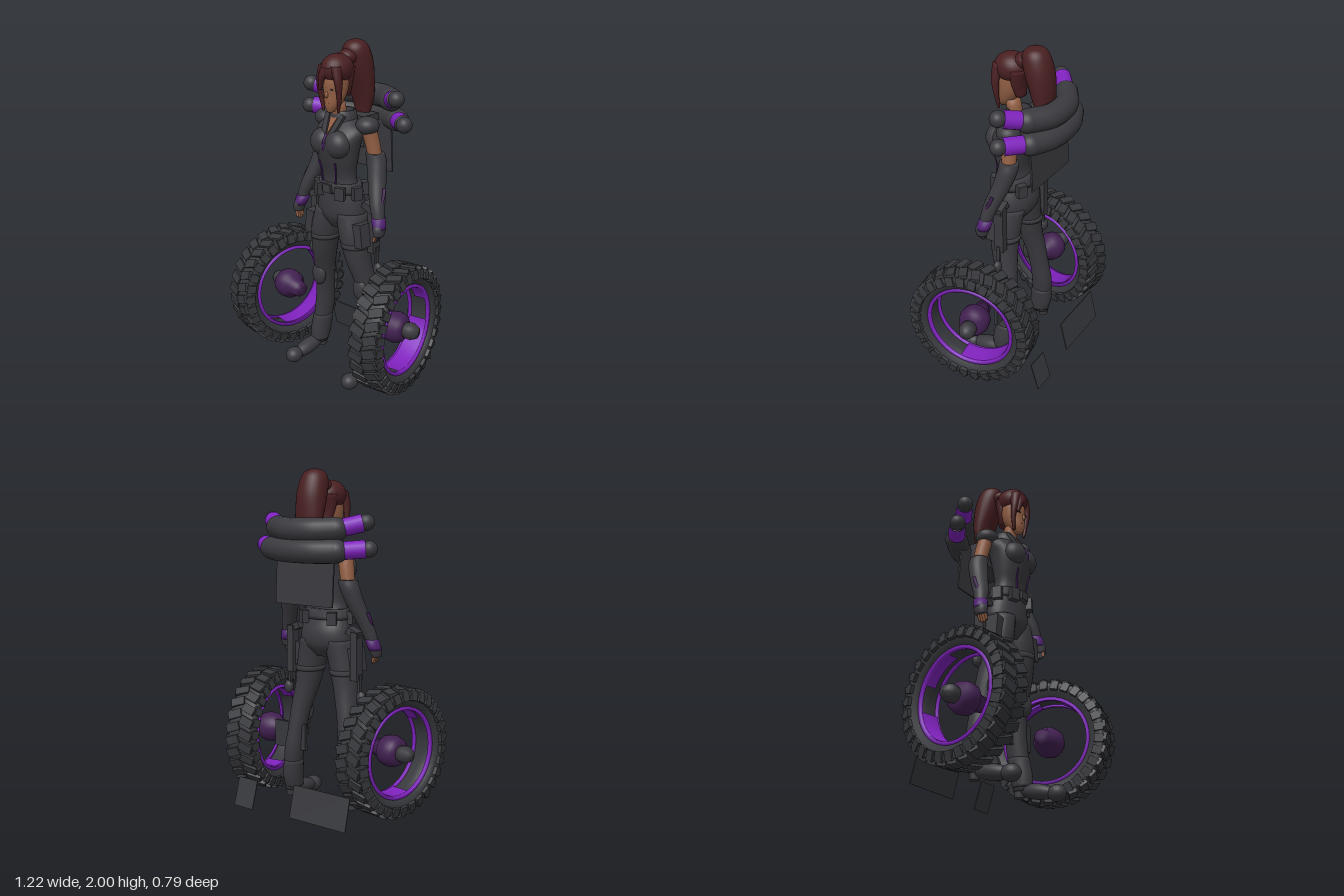
import * as THREE from 'three';

const mat = (name, color) => {
  const m = new THREE.MeshStandardMaterial({ color });
  m.name = name;
  return m;
};
const suit = mat('charcoal suit', 0x3a3a3f);
const rubber = mat('tyre rubber', 0x37383c);
const purple = mat('bright purple', 0x7f22bd);
const violet = mat('deep violet', 0x4f2070);
const plum = mat('dark plum', 0x412050);
const skin = mat('skin', 0x915e43);
const hair = mat('auburn hair', 0x491f21);

function add(parent, name, geo, material, x = 0, y = 0, z = 0) {
  const m = new THREE.Mesh(geo, material);
  m.name = name;
  m.position.set(x, y, z);
  parent.add(m);
  return m;
}

// Smooth closed body made of horizontal ellipses [y, x, z, rx, rz], listed upwards
function loft(sections, side = 1, n = 24, steps = 5) {
  const first = sections[0], last = sections[sections.length - 1];
  const mid = new THREE.CatmullRomCurve3(sections.map(s => new THREE.Vector3(s[1] * side, s[0], s[2])), false, 'catmullrom');
  const rad = new THREE.CatmullRomCurve3(sections.map(s => new THREE.Vector3(s[3], s[4], 0)), false, 'catmullrom');
  const rings = [[first[1] * side, first[0], first[2], 0, 0]];
  const count = (sections.length - 1) * steps;
  for (let i = 0; i <= count; i++) {
    const p = mid.getPoint(i / count), r = rad.getPoint(i / count);
    rings.push([p.x, p.y, p.z, r.x, r.y]);
  }
  rings.push([last[1] * side, last[0], last[2], 0, 0]);
  const pos = [], idx = [];
  rings.forEach(([x, y, z, rx, rz], i) => {
    for (let j = 0; j < n; j++) {
      const a = j / n * Math.PI * 2;
      pos.push(x + rx * Math.cos(a), y, z + rz * Math.sin(a));
      if (i === rings.length - 1) continue;
      const p = i * n + j, q = i * n + (j + 1) % n;
      idx.push(p, p + n, q, q, p + n, q + n);
    }
  });
  const g = new THREE.BufferGeometry();
  g.setAttribute('position', new THREE.Float32BufferAttribute(pos, 3));
  g.setIndex(idx);
  g.computeVertexNormals();
  return g;
}

const ball = (rx, ry, rz) => new THREE.SphereGeometry(1, 24, 16).scale(rx, ry, rz);
const box = (w, h, d) => new THREE.BoxGeometry(w, h, d);
const lathe = (pts, n = 48, start = 0, sweep = Math.PI * 2) =>
  new THREE.LatheGeometry(pts.map(p => new THREE.Vector2(p[0], p[1])), n, start, sweep);
const cord = (pts, r, n = 10) =>
  new THREE.TubeGeometry(new THREE.CatmullRomCurve3(pts.map(p => new THREE.Vector3(...p))), n, r, 8);

function makeHead(g) {
  add(g, 'neck', loft([[1.52, 0, 0, 0.05, 0.045], [1.67, 0, 0.03, 0.042, 0.042]]), skin);
  add(g, 'face', loft([[1.62, 0, 0.085, 0.02, 0.022], [1.66, 0, 0.068, 0.046, 0.05], [1.72, 0, 0.048, 0.063, 0.07],
    [1.79, 0, 0.04, 0.068, 0.08], [1.86, 0, 0.03, 0.06, 0.07]]), skin);
  add(g, 'nose', ball(0.01, 0.018, 0.014), skin, 0, 1.72, 0.118);
  add(g, 'mouth', box(0.032, 0.008, 0.008), hair, 0, 1.675, 0.113);
  add(g, 'hairCap', ball(0.088, 0.085, 0.1), hair, 0, 1.855, 0.035);
  add(g, 'hairTie', ball(0.055, 0.045, 0.06), hair, 0, 1.91, -0.05);
  add(g, 'backHair', loft([[1.7, 0, -0.025, 0.04, 0.025], [1.77, 0, -0.015, 0.065, 0.035], [1.86, 0, -0.01, 0.08, 0.06]]), hair);
  add(g, 'ponytail', loft([[1.55, 0, -0.18, 0.04, 0.025], [1.68, 0, -0.175, 0.08, 0.05], [1.84, 0, -0.145, 0.09, 0.08],
    [1.94, 0, -0.12, 0.08, 0.08], [1.985, 0, -0.115, 0.055, 0.055], [2.0, 0, -0.115, 0.02, 0.02]]), hair);
  for (const s of [-1, 1]) {
    add(g, 'eye', box(0.026, 0.009, 0.006), suit, s * 0.028, 1.75, 0.112);
    add(g, 'sideLock', loft([[1.62, 0.056, 0.085, 0.007, 0.008], [1.7, 0.07, 0.09, 0.014, 0.014],
      [1.79, 0.07, 0.098, 0.02, 0.024], [1.88, 0.045, 0.09, 0.03, 0.035]], s), hair);
  }
  add(g, 'fringe', loft([[1.74, -0.055, 0.112, 0.008, 0.01], [1.81, -0.035, 0.118, 0.024, 0.02], [1.87, 0.0, 0.108, 0.05, 0.025]]), hair);
}

function makeTorso(g) {
  add(g, 'torso', loft([[0.93, 0, 0, 0.07, 0.06], [1.0, 0, -0.005, 0.155, 0.105], [1.08, 0, -0.005, 0.16, 0.11],
    [1.17, 0, 0.01, 0.135, 0.09], [1.25, 0, 0.02, 0.115, 0.08], [1.35, 0, 0.03, 0.132, 0.1],
    [1.44, 0, 0.03, 0.148, 0.118], [1.52, 0, -0.005, 0.16, 0.095], [1.57, 0, -0.015, 0.09, 0.06]], 1, 32), suit);
  add(g, 'belt', loft([[1.15, 0, 0.005, 0.15, 0.105], [1.21, 0, 0.012, 0.14, 0.102]], 1, 32, 2), suit);
  add(g, 'buckle', box(0.06, 0.05, 0.03), suit, 0, 1.18, 0.112);
  const v = new THREE.Shape([new THREE.Vector2(0, 0), new THREE.Vector2(0.026, 0.11), new THREE.Vector2(-0.026, 0.11)]);
  add(g, 'neckline', new THREE.ExtrudeGeometry(v, { depth: 0.006, bevelEnabled: false }), skin, 0, 1.49, 0.118).rotation.x = -0.58;
  add(g, 'collar', lathe([[0.085, 0], [0.08, 0.05], [0.07, 0.085], [0.06, 0.085], [0.06, 0]], 32), suit, 0, 1.535, -0.015);
  add(g, 'chestAccent', cord([[0, 1.5, 0.12], [0, 1.46, 0.146], [0, 1.41, 0.148]], 0.006), violet);
  for (const s of [-1, 1]) {
    add(g, 'chest', ball(0.08, 0.08, 0.07), suit, s * 0.058, 1.44, 0.088);
    add(g, 'lapel', box(0.034, 0.15, 0.018), suit, s * 0.04, 1.54, 0.084).rotation.set(-0.55, 0, -s * 0.24);
    add(g, 'shoulder', ball(0.068, 0.052, 0.068), suit, s * 0.16, 1.545, -0.042);
    add(g, 'seam', cord([[s * 0.05, 1.21, 0.1], [s * 0.058, 1.29, 0.107], [s * 0.065, 1.34, 0.12]], 0.005), violet);
    for (const [x, z, turn] of [[0.085, 0.1, 0.4], [0.15, 0.03, 1.3], [0.1, -0.09, 2.6]])
      add(g, 'beltPouch', box(0.055, 0.075, 0.04), suit, s * x, 1.16, z).rotation.y = s * turn;
  }
}

function makeLimbs(g, s) {
  // Arm
  add(g, 'upperArm', loft([[1.35, 0.2, -0.07, 0.04, 0.04], [1.45, 0.182, -0.06, 0.042, 0.045], [1.53, 0.166, -0.045, 0.045, 0.047]], s), skin);
  add(g, 'longGlove', loft([[1.03, 0.308, 0.02, 0.034, 0.034], [1.12, 0.28, 0, 0.044, 0.045], [1.25, 0.235, -0.045, 0.053, 0.054],
    [1.34, 0.21, -0.068, 0.058, 0.057], [1.39, 0.196, -0.07, 0.054, 0.055]], s), suit);
  add(g, 'wristBand', loft([[0.99, 0.32, 0.028, 0.037, 0.042], [1.05, 0.303, 0.015, 0.04, 0.041]], s, 20, 2), violet);
  add(g, 'gloveStripe', cord([[s * 0.313, 1.12, 0.008], [s * 0.312, 1.17, -0.015], [s * 0.304, 1.21, -0.03]], 0.01), plum);
  add(g, 'hand', loft([[0.95, 0.325, 0.035, 0.026, 0.034], [0.99, 0.322, 0.03, 0.034, 0.042], [1.03, 0.308, 0.022, 0.033, 0.033]], s), suit);
  for (let i = 0; i < 4; i++)
    add(g, 'finger', loft([[0.905 + 0.008 * Math.abs(i - 1.5), 0.308, 0.018 + i * 0.015, 0.007, 0.007],
      [0.965, 0.324, 0.013 + i * 0.015, 0.011, 0.009]], s, 10, 3), s < 0 || i === 3 ? skin : suit);

  // Leg and boot
  add(g, 'leg', loft([[0.08, 0.225, -0.045, 0.042, 0.048], [0.2, 0.217, -0.05, 0.05, 0.06], [0.34, 0.2, -0.06, 0.055, 0.065],
    [0.47, 0.183, -0.05, 0.052, 0.062], [0.6, 0.167, -0.03, 0.06, 0.066], [0.75, 0.138, 0, 0.072, 0.082],
    [0.9, 0.112, 0.01, 0.085, 0.096], [1.03, 0.085, 0, 0.082, 0.1]], s), suit);
  add(g, 'bootCuff', loft([[0.1, 0.222, -0.035, 0.052, 0.06], [0.17, 0.22, -0.045, 0.058, 0.07], [0.27, 0.21, -0.055, 0.056, 0.066]], s), suit);
  add(g, 'kneePad', ball(0.05, 0.07, 0.03), suit, s * 0.17, 0.57, 0.02);
  add(g, 'foot', ball(0.05, 0.045, 0.12), suit, s * 0.232, 0.07, 0.06).rotation.x = 0.2;
  add(g, 'toe', ball(0.05, 0.048, 0.056), suit, s * 0.238, 0.048, 0.176);
  add(g, 'heel', new THREE.CylinderGeometry(0.035, 0.028, 0.07, 16), suit, s * 0.225, 0.08, -0.06);

  // Thigh gear and hanging straps
  add(g, 'thighPouch', box(0.06, 0.14, 0.11), suit, s * 0.195, 0.92, 0.02).rotation.z = s * 0.12;
  add(g, 'thighBand', loft([[0.83, 0.125, 0.005, 0.084, 0.094], [0.86, 0.12, 0.006, 0.087, 0.097]], s, 24, 2), suit);
  add(g, 'holster', box(0.045, 0.28, 0.06), suit, s * 0.23, 0.95, -0.03);
  add(g, 'holsterTop', box(0.09, 0.04, 0.06), suit, s * 0.215, 1.08, -0.02).rotation.z = -s * 0.4;
  add(g, 'strap', box(0.014, 0.15, 0.02), suit, s * 0.252, 0.77, -0.03);
  add(g, 'strapWeight', ball(0.03, 0.04, 0.025), suit, s * 0.264, 0.71, -0.03);
}

function makeWheel(g, s) {
  const w = new THREE.Group();
  w.name = s > 0 ? 'leftWheel' : 'rightWheel';
  w.position.set(s * 0.454, 0.42, 0.015);
  w.rotation.y = s * 0.17;
  g.add(w);
  const spin = (name, pts, m, start, sweep) => { add(w, name, lathe(pts, 48, start, sweep), m).rotation.z = -s * Math.PI / 2; };
  // Closed band between two radii, a to b along the axle
  const band = (r, R, a, b) => [[r, a], [R, a], [R, b], [r, b], [r, a]];
  spin('tyre', [[0.262, -0.06], [0.3, -0.083], [0.345, -0.09], [0.361, -0.068], [0.366, 0], [0.361, 0.068],
    [0.345, 0.09], [0.3, 0.083], [0.262, 0.06], [0.258, 0], [0.262, -0.06]], rubber);
  for (const e of [-1, 1])
    spin('rimEdge', band(0.249, 0.268, e * 0.06 - 0.009, e * 0.06 + 0.009), purple);
  // Glowing rim lining: wide at the lower rear, narrower above, a patch in front
  const arc = (start, sweep, a, b) =>
    spin('rimGlow', band(0.246, 0.262, a, b), purple, s > 0 ? start : Math.PI * 2 - start - sweep, sweep);
  arc(1.3, 1.7, -0.055, 0.055);
  arc(3.6, 0.9, -0.01, 0.055);
  arc(5.1, 0.5, -0.055, 0.01);
  // Hub on a short stub
  spin('hub', [[0, -0.14], [0.045, -0.14], [0.055, -0.08], [0.085, -0.05], [0.092, 0], [0.08, 0.04], [0.055, 0.06], [0, 0.065]], plum);
  spin('hubCap', [[0, 0.05], [0.045, 0.05], [0.05, 0.1], [0.035, 0.135], [0, 0.145]], suit);
  // Staggered tread blocks with shoulder lugs
  const n = 30;
  for (let i = 0; i < n; i++) for (const e of [-1, 1]) {
    const spoke = new THREE.Group();
    spoke.name = 'treadRow';
    spoke.rotation.x = (i + (e > 0 ? 0.5 : 0)) / n * Math.PI * 2;
    w.add(spoke);
    add(spoke, 'treadBlock', box(0.085, 0.026, 0.05), rubber, e * 0.043, 0.363, 0).rotation.y = e * 0.35;
    add(spoke, 'shoulderLug', box(0.02, 0.055, 0.048), rubber, e * 0.088, 0.333, 0).rotation.z = e * 0.25;
  }
}

// Two curved rolls behind the shoulders, with purple ends and dark tips
function makeRolls(g) {
  const rolls = [
    [[0.08, 1.67, -0.26], [0.205, 1.675, -0.19], [0.315, 1.708, -0.1], [0.33, 1.712, -0.086]],
    [[0.09, 1.555, -0.275], [0.225, 1.558, -0.22], [0.352, 1.57, -0.125], [0.368, 1.57, -0.112]],
  ];
  for (const half of rolls) {
    const mirror = s => half.map(p => new THREE.Vector3(p[0] * s, p[1], p[2]));
    const right = mirror(-1), left = mirror(1);
    const path = new THREE.CatmullRomCurve3([right[1], right[0], left[0], left[1]]);
    add(g, 'roll', new THREE.TubeGeometry(path, 32, 0.067, 18), suit);
    for (const p of [right, left]) {
      add(g, 'rollEnd', ball(0.067, 0.065, 0.067), suit).position.copy(p[1]);
      add(g, 'purpleEnd', new THREE.TubeGeometry(new THREE.LineCurve3(p[1], p[2]), 1, 0.05, 18), purple);
      add(g, 'tipCap', ball(0.046, 0.046, 0.046), suit).position.copy(p[3]);
    }
  }
  add(g, 'backPanel', box(0.4, 0.3, 0.01), suit, 0, 1.395, -0.21).rotation.x = 0.06;
  add(g, 'backPack', box(0.2, 0.18, 0.13), suit, 0, 1.49, -0.14);
}

export function createModel() {
  const g = new THREE.Group();
  g.name = 'wheeledFigure';
  makeHead(g);
  makeTorso(g);
  makeRolls(g);
  for (const s of [-1, 1]) {
    makeLimbs(g, s);
    makeWheel(g, s);
  }
  // Thin guard plates trailing behind the wheels, and a bracket inside one wheel
  add(g, 'rearPlate', box(0.39, 0.19, 0.006), rubber, -0.195, 0.125, -0.338).rotation.x = 0.25;
  add(g, 'smallRearPlate', box(0.14, 0.17, 0.006), rubber, 0.325, 0.115, -0.365).rotation.x = 0.3;
  add(g, 'bracket', box(0.23, 0.16, 0.02), rubber, 0.225, 0.42, -0.06);
  return g;
}
